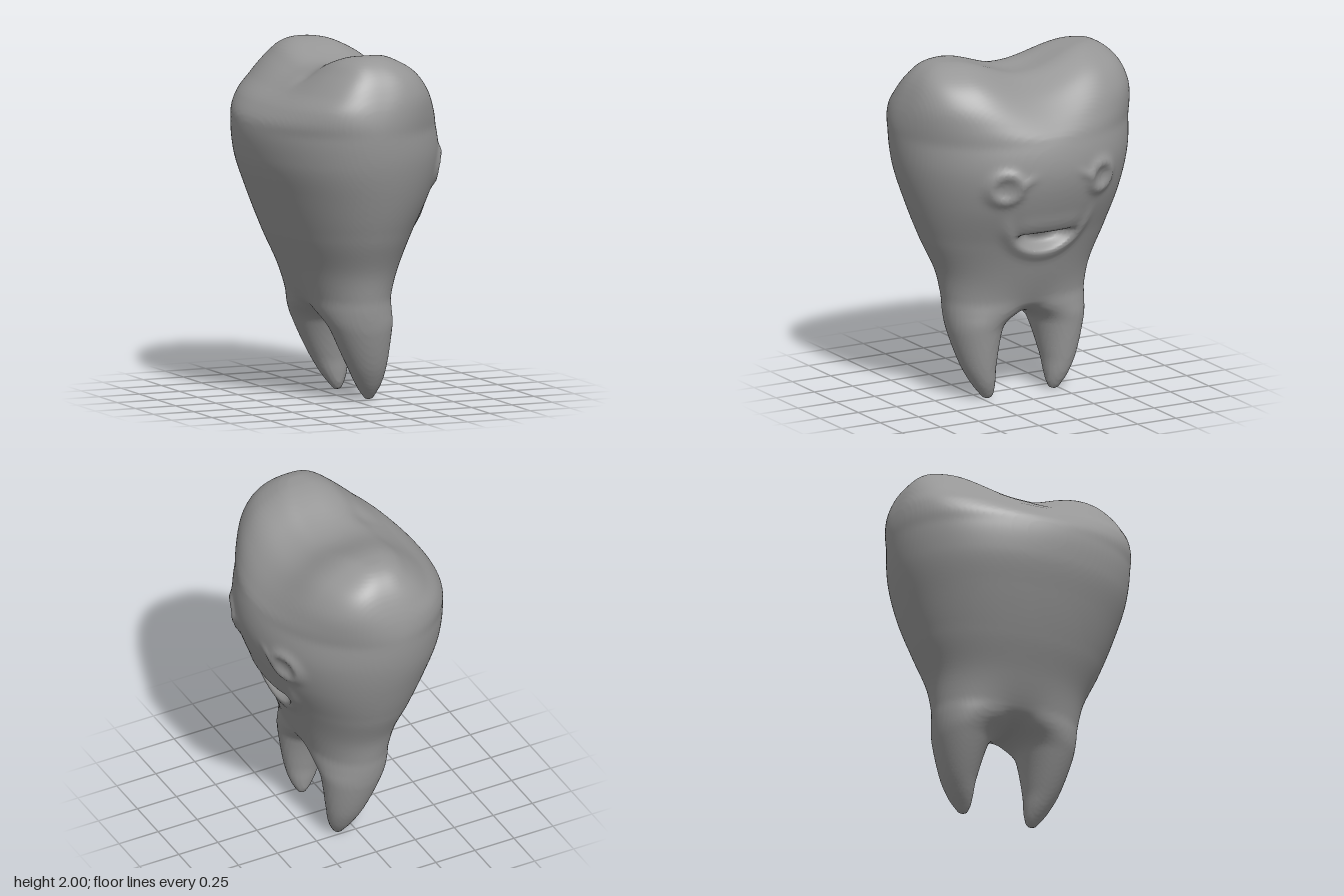
import * as THREE from 'three';

// Height profile: y, back x, face x, outer half-width in z, inner edge of each root in z.
// A negative inner edge makes the two root sections overlap and merge into one crown.
const PROFILE = [
  [0, 0.095, 0.105, 0.225, 0.21],
  [0.03, 0.06, 0.135, 0.26, 0.18],
  [0.1, 0.01, 0.165, 0.31, 0.168],
  [0.2, -0.045, 0.185, 0.36, 0.158],
  [0.4, -0.14, 0.21, 0.42, 0.108],
  [0.46, -0.17, 0.22, 0.43, 0.06],
  [0.52, -0.2, 0.23, 0.436, -0.06],
  [0.6, -0.23, 0.245, 0.442, -0.22],
  [0.75, -0.3, 0.305, 0.475, -0.42],
  [0.95, -0.395, 0.385, 0.565, -0.56],
  [1.2, -0.49, 0.505, 0.655, -0.655],
  [1.4, -0.55, 0.553, 0.705, -0.705],
  [1.6, -0.553, 0.525, 0.72, -0.72],
  [1.7, -0.485, 0.48, 0.71, -0.71],
  [1.8, -0.365, 0.42, 0.68, -0.68],
  [1.9, -0.255, 0.335, 0.63, -0.63],
  [1.97, -0.165, 0.22, 0.56, -0.56],
  [2, -0.04, 0.11, 0.46, -0.46],
];

const smooth = (a, b, v) => THREE.MathUtils.smoothstep(v, a, b);
const bell = (d, s) => Math.exp(-(d * d) / (s * s));

// Angular height keeps both ends of the profile round
const angle = (y) => Math.acos(THREE.MathUtils.clamp(1 - y, -1, 1));
const knots = PROFILE.map((row) => angle(row[0]));
const slopes = PROFILE.map((row, i) => {
  const a = Math.max(i - 1, 0), b = Math.min(i + 1, PROFILE.length - 1);
  return row.map((_, k) => (PROFILE[b][k] - PROFILE[a][k]) / (knots[b] - knots[a]));
});

// Smooth (Hermite) reading of the profile at height y
function section(y) {
  const u = angle(y);
  let i = 0;
  while (i < knots.length - 2 && u > knots[i + 1]) i++;
  const h = knots[i + 1] - knots[i], t = (u - knots[i]) / h;
  const t2 = t * t, t3 = t2 * t;
  const A = 2 * t3 - 3 * t2 + 1, B = (t3 - 2 * t2 + t) * h, D = (t3 - t2) * h;
  const read = (k) => A * PROFILE[i][k] + B * slopes[i][k] + (1 - A) * PROFILE[i + 1][k] + D * slopes[i + 1][k];
  return [read(1), read(2), read(3), read(4)];
}

// Relief of the smiling face on the +x side: positive stands out, negative is carved
function faceRelief(y, z) {
  const az = Math.abs(z);
  if (y < 0.75 || y > 1.5 || az > 0.5) return 0;
  // eyes: a ring, a hollow inside it and a crease towards the middle
  const r = Math.hypot(az - 0.31, y - 1.33);
  let relief = 0.02 * bell(r - 0.08, 0.034) - 0.006 * bell(r, 0.05);
  relief += 0.012 * bell(y - 1.36 + 0.4 * (az - 0.2), 0.028) * bell(az - 0.19, 0.05);
  // smile: lower lip and cheek folds
  const lip = (Math.hypot(z / 0.265, (y - 1.13) / 0.25) - 1) * 0.255;
  relief += 0.016 * bell(lip, 0.035) * (1 - smooth(1.02, 1.18, y));
  // upper lip overhanging the mouth
  relief += 0.012 * bell(y - 1.07, 0.06) * (1 - smooth(0.12, 0.28, az));
  // open mouth, deepest under the upper lip
  const mouth = (Math.hypot(z / 0.21, (y - 1.025) / 0.125) - 1) * 0.125;
  const open = (1 - smooth(-0.07, 0.005, mouth)) * (1 - smooth(1.01, 1.03, y));
  return relief - 0.085 * open;
}

// Signed field of the whole tooth, negative inside
function field(x, y, z) {
  // valley between the two cusps, and a small pit on the chewing slope
  const valley = 0.0525 * (1 + Math.cos(Math.PI * Math.min(1, Math.abs(z) / 0.43))) * smooth(-0.55, 0.05, x);
  const pit = 0.018 * bell(Math.hypot(x + 0.24, z - 0.13), 0.08);
  const yy = y + (valley + pit) * smooth(1.5, 1.9, y);

  const [x0, x1, outer, inner] = section(yy);
  const rx = Math.max((x1 - x0) / 2, 0.004), rz = Math.max((outer - inner) / 2, 0.004);
  const zc = Math.max((outer + inner) / 2, 0);
  // the crown's sides lean back a little, and its sections grow squarer towards the cusps
  const lean = 0.035 * Math.min(1, (z / outer) ** 2) * smooth(0.9, 1.4, yy);
  const dx = Math.abs((x - (x0 + x1) / 2 + lean) / rx);
  const p = 2 + smooth(1.55, 1.9, yy);
  const root = (dz) => ((dx ** p + Math.abs(dz / rz) ** p) ** (1 / p) - 1) * Math.min(rx, rz);
  const a = root(z - zc), b = root(z + zc);

  // soft union of the two root sections
  const k = Math.max(0.08 * Math.min(1, zc / 0.15), 0.001);
  const h = Math.max(k - Math.abs(a - b), 0) / k;
  let f = Math.min(a, b) - (h * h * k) / 4;

  if (x > 0) f -= faceRelief(y, z) * smooth(0, 0.15, x);
  return Math.max(f, -y, yy - 2);
}

// Skin the field with a regular net of quads
function skin(f, min, max, step) {
  const n = min.map((v, i) => Math.ceil((max[i] - v) / step) + 1);
  const stride = [1, n[0], n[0] * n[1]];
  const values = new Float32Array(n[0] * n[1] * n[2]);
  const cellVertex = new Int32Array(values.length).fill(-1);
  const positions = [], indices = [];
  const each = (start, trim, fn) => {
    for (let k = start; k < n[2] - trim; k++)
      for (let j = start; j < n[1] - trim; j++)
        for (let i = start; i < n[0] - trim; i++) fn(i, j, k, i + j * stride[1] + k * stride[2]);
  };
  const sample = (g) => f(...g.map((v, m) => min[m] + v * step));
  each(0, 0, (i, j, k, id) => { values[id] = sample([i, j, k]); });

  // where the surface cuts a grid edge, by bisection
  const crossing = (corner, axis, startsInside) => {
    let lo = 0, hi = 1;
    for (let s = 0; s < 7; s++) {
      const mid = (lo + hi) / 2, g = corner.slice();
      g[axis] += mid;
      if ((sample(g) < 0) === startsInside) lo = mid;
      else hi = mid;
    }
    return (lo + hi) / 2;
  };

  // one vertex per crossed cell, at the mean of its edge crossings
  each(0, 1, (i, j, k, id) => {
    const sum = [0, 0, 0];
    let count = 0;
    for (let c = 0; c < 8; c++) {
      const bits = [c & 1, (c >> 1) & 1, c >> 2];
      const p = id + bits[0] + bits[1] * stride[1] + bits[2] * stride[2];
      for (let axis = 0; axis < 3; axis++) {
        if (bits[axis]) continue;
        const inside = values[p] < 0;
        if (inside === values[p + stride[axis]] < 0) continue;
        const t = crossing([i + bits[0], j + bits[1], k + bits[2]], axis, inside);
        for (let m = 0; m < 3; m++) sum[m] += bits[m] + (m === axis ? t : 0);
        count++;
      }
    }
    if (!count) return;
    cellVertex[id] = positions.length / 3;
    [i, j, k].forEach((g, m) => positions.push(min[m] + (g + sum[m] / count) * step));
  });

  // one quad around every crossed grid edge
  each(1, 1, (i, j, k, id) => {
    for (let axis = 0; axis < 3; axis++) {
      const inside = values[id] < 0;
      if (inside === values[id + stride[axis]] < 0) continue;
      const sb = stride[(axis + 1) % 3], sc = stride[(axis + 2) % 3];
      const q = [id, id - sb, id - sb - sc, id - sc].map((c) => cellVertex[c]);
      if (!inside) q.reverse();
      indices.push(q[0], q[1], q[2], q[0], q[2], q[3]);
    }
  });

  const geometry = new THREE.BufferGeometry();
  geometry.setAttribute('position', new THREE.Float32BufferAttribute(positions, 3));
  geometry.setIndex(indices);
  geometry.computeVertexNormals();
  return geometry;
}

export function createModel() {
  const group = new THREE.Group();
  group.name = 'smilingTooth';
  const material = new THREE.MeshStandardMaterial({ color: 0x969696 });
  const tooth = new THREE.Mesh(skin(field, [-0.65, -0.05, -0.8], [0.68, 2.06, 0.8], 0.016), material);
  tooth.name = 'toothBody';
  group.add(tooth);
  return group;
}
